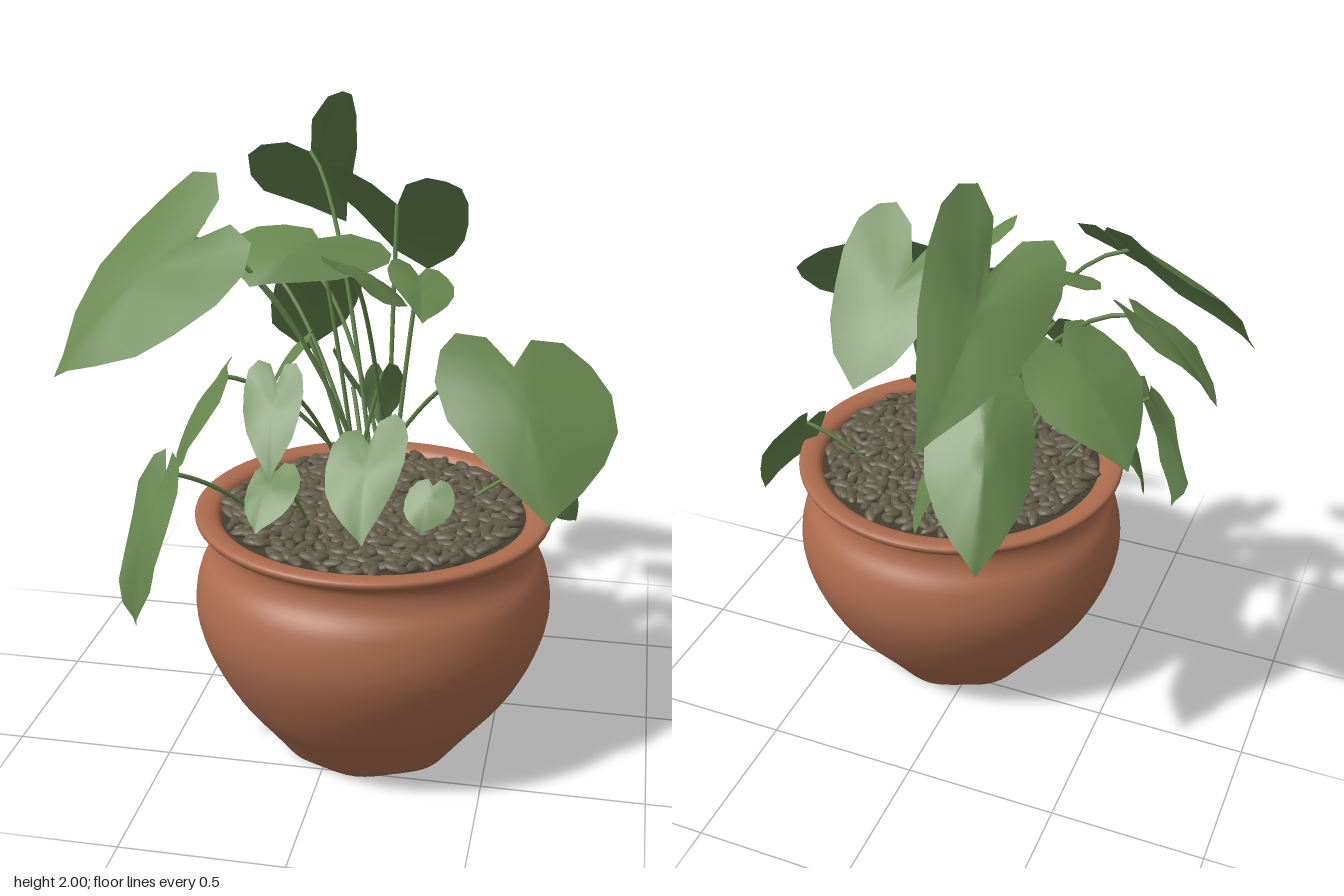
import * as THREE from 'three';
import { mergeGeometries } from 'three/addons/utils/BufferGeometryUtils.js';

const mat = (name, color, side = THREE.FrontSide) => {
  const m = new THREE.MeshStandardMaterial({ color, side });
  m.name = name;
  return m;
};
const V = (a) => new THREE.Vector3(...a);
const POT = [0.11, 0, 0.22];

// Half outline of a heart-shaped blade: s runs towards the tip, t sideways
const HALF = [[1, 0], [0.9, 0.14], [0.73, 0.42], [0.5, 0.73], [0.26, 0.95], [0, 1],
  [-0.18, 0.87], [-0.28, 0.62], [-0.22, 0.25], [0, 0]];
const OUTLINE = [...HALF, ...HALF.slice(1, -1).reverse().map(([s, t]) => [s, -t])];

// Blade spanned by its stalk joint p, tip q and the widest points l and r;
// a blunt value above 1 fills out the tip
function bladeGeometry(p, q, l, r, blunt) {
  const P = V(p), axis = V(q).sub(P), left = V(l).sub(P), right = V(r).sub(P);
  const normal = axis.clone().cross(right.clone().sub(left)).normalize();
  if (normal.y < 0) normal.negate();
  const len = axis.length(), n = OUTLINE.length, rings = 4, pos = [], idx = [];
  const add = (s, t, wave) => {
    const arch = 0.2 * Math.max(0, s) * (1 - s);
    const v = P.clone().addScaledVector(axis, s)
      .addScaledVector(t > 0 ? right : left, Math.abs(t))
      .addScaledVector(normal, len * (arch + wave));
    pos.push(v.x, v.y, v.z);
  };
  add(0.3, 0, 0.03);
  for (let k = 1; k <= rings; k++) {
    const f = k / rings;
    OUTLINE.forEach(([s, t], i) => {
      const w = s > 0 ? Math.sign(t) * Math.abs(t) ** (1 / blunt) : t;
      const wave = 0.03 * (1 - f * f) + 0.025 * f * f * Math.sin(i * 1.7) * Math.min(1, Math.abs(t) * 2);
      add(0.3 + (s - 0.3) * f, w * f, wave);
    });
  }
  for (let i = 0; i < n; i++) {
    const j = (i + 1) % n;
    idx.push(0, 1 + i, 1 + j);
    for (let k = 0; k < rings - 1; k++) {
      const a = 1 + k * n, b = a + n;
      idx.push(a + i, b + i, b + j, a + i, b + j, a + j);
    }
  }
  const g = new THREE.BufferGeometry();
  g.setAttribute('position', new THREE.Float32BufferAttribute(pos, 3));
  g.setIndex(idx);
  g.computeVertexNormals();
  return g;
}

export function createModel() {
  const model = new THREE.Group();
  const clay = mat('terracotta', 0xad6c4e, THREE.DoubleSide);
  const green = mat('leaf green', 0x68874f, THREE.DoubleSide);
  const stalkGreen = mat('stalk green', 0x64834c);
  const earth = mat('dark earth', 0x453e31);
  const bark = mat('pebble olive brown', 0x625a48);
  const mesh = (name, geo, m, parent = model) => {
    const o = new THREE.Mesh(geo, m);
    o.name = name;
    parent.add(o);
    return o;
  };
  let seed = 7;
  const rand = () => (seed = (seed * 16807) % 2147483647) / 2147483647;

  // Pot: turned profile with a slightly fluted foot
  const profile = new THREE.SplineCurve([[0.3, 0], [0.375, 0.1], [0.45, 0.2], [0.515, 0.32], [0.553, 0.43],
    [0.56, 0.52], [0.54, 0.61], [0.505, 0.665], [0.492, 0.71], [0.5, 0.745], [0.54, 0.765], [0.555, 0.785],
    [0.545, 0.8], [0.5, 0.797], [0.475, 0.775], [0.468, 0.72]].map((p) => new THREE.Vector2(...p))).getPoints(48);
  const potGeo = new THREE.LatheGeometry([new THREE.Vector2(0, 0), ...profile], 64);
  const pp = potGeo.attributes.position;
  for (let i = 0; i < pp.count; i++) {
    const x = pp.getX(i), y = pp.getY(i), z = pp.getZ(i);
    const k = 1 - 0.018 * Math.max(0, 1 - y / 0.25) * (1 - Math.cos(8 * Math.atan2(z, x)));
    pp.setXYZ(i, x * k, y, z * k);
  }
  mesh('pot', potGeo, clay).position.set(...POT);

  // Soil with a bed of long pebbles laid out on a sunflower spiral
  const soil = mesh('soil', new THREE.CircleGeometry(0.48, 48).rotateX(-Math.PI / 2), earth);
  soil.position.set(POT[0], 0.775, POT[2]);
  const pebbles = [], count = 520;
  for (let i = 0; i < count; i++) {
    const r = 0.455 * Math.sqrt((i + 0.5) / count), a = i * 2.39996 + (rand() - 0.5) * 0.05;
    pebbles.push(new THREE.IcosahedronGeometry(1, 1)
      .scale(0.032 + 0.014 * rand(), 0.013, 0.015 + 0.007 * rand())
      .rotateZ((rand() - 0.5) * 0.5).rotateY(rand() * Math.PI)
      .translate(POT[0] + r * Math.cos(a), 0.782 + 0.012 * rand(), POT[2] + r * Math.sin(a)));
  }
  mesh('pebbles', mergeGeometries(pebbles), bark);

  // A leaf is a blade and a stalk arching up from the soil; low ones root further out
  const leaf = (name, p, q, l, r, blunt = 1) => {
    const g = new THREE.Group();
    g.name = name;
    model.add(g);
    mesh('blade', bladeGeometry(p, q, l, r, blunt), green, g);
    const end = V(p), spread = end.y < 1 ? 0.6 : 0;
    const a = new THREE.Vector3(0.09 + (rand() - 0.5) * 0.14, 0.77, 0.12 + (rand() - 0.5) * 0.14);
    a.x += (end.x - a.x) * spread;
    a.z += (end.z - a.z) * spread;
    const bend = a.clone().lerp(end, 0.5);
    bend.y += 0.45 * (end.y - a.y) * Math.min(1, 2 * Math.hypot(end.x - a.x, end.z - a.z));
    const stalk = new THREE.QuadraticBezierCurve3(a, bend, end);
    mesh('stalk', new THREE.TubeGeometry(stalk, 14, 0.007, 6), stalkGreen, g);
  };

  // Tall leaves
  leaf('tallBackLeaf', [-0.2, 1.79, -0.33], [-0.17, 1.46, -0.78], [-0.39, 1.72, -0.27], [-0.06, 1.97, -0.34]);
  leaf('broadBackLeaf', [0.12, 1.67, -0.13], [0.18, 1.39, -0.43], [-0.09, 1.76, -0.07], [0.33, 1.74, -0.04], 2.6);
  leaf('leftBackLeaf', [-0.35, 1.49, -0.13], [-0.64, 1.28, -0.38], [-0.32, 1.45, -0.35], [-0.5, 1.42, 0.02]);
  leaf('farLeftLeaf', [-0.53, 1.57, -0.01], [-0.83, 1.43, -0.19], [-0.58, 1.62, -0.19], [-0.62, 1.49, 0.1]);
  leaf('bigLeftLeaf', [-0.42, 1.63, 0.28], [-0.8, 1.25, 0.5], [-0.57, 1.72, 0.05], [-0.28, 1.5, 0.53]);
  leaf('centreLeaf', [-0.09, 1.6, 0.07], [-0.25, 1.5, 0.3], [-0.36, 1.59, 0.05], [0.13, 1.53, 0.08]);
  leaf('innerCentreLeaf', [0.08, 1.56, 0.37], [0.15, 1.46, 0.13], [-0.02, 1.61, 0.34], [0.2, 1.47, 0.34]);
  leaf('smallCentreLeaf', [0.21, 1.48, 0], [0.25, 1.38, 0.18], [0.12, 1.51, 0.05], [0.32, 1.45, 0.01]);
  leaf('lowBackLeaf', [-0.2, 1.39, -0.34], [-0.29, 1.0, -0.65], [-0.34, 1.27, -0.31], [-0.05, 1.3, -0.45]);

  // Front and side leaves
  leaf('rightFrontLeaf', [0.55, 1.36, 0.48], [0.68, 1.0, 0.74], [0.34, 1.33, 0.56], [0.82, 1.27, 0.42]);
  leaf('frontLeaf', [-0.14, 1.25, 0.43], [-0.12, 1.02, 0.62], [-0.24, 1.23, 0.43], [-0.05, 1.24, 0.47]);
  leaf('leftSideLeaf', [-0.36, 1.2, 0.25], [-0.55, 0.82, 0.18], [-0.42, 1.1, 0.13], [-0.38, 1.07, 0.36]);
  leaf('hangingLeftLeaf', [-0.46, 0.98, 0.52], [-0.55, 0.5, 0.6], [-0.58, 0.83, 0.5], [-0.42, 0.85, 0.63]);
  leaf('hangingRightLeaf', [0.61, 0.9, 0.05], [0.73, 0.67, -0.06], [0.61, 0.81, 0.13], [0.68, 0.87, -0.06]);

  // Low leaves close to the soil
  leaf('lowCentreLeaf', [0.12, 1.05, 0.36], [0.14, 0.82, 0.58], [0.0, 0.99, 0.42], [0.24, 1.08, 0.36]);
  leaf('lowLeftLeaf', [-0.14, 0.99, 0.48], [-0.16, 0.86, 0.64], [-0.21, 0.96, 0.52], [-0.05, 0.97, 0.54]);
  leaf('lowRightLeaf', [0.32, 0.95, 0.4], [0.3, 0.83, 0.48], [0.24, 0.91, 0.42], [0.39, 0.91, 0.43]);
  leaf('lowRearLeaf', [-0.02, 1.06, -0.12], [0.06, 0.81, -0.29], [-0.1, 1.13, -0.24], [0.09, 0.94, -0.07]);
  leaf('innerLeaf', [-0.12, 1.3, 0.1], [-0.25, 1.1, 0.08], [-0.15, 1.23, 0.01], [-0.15, 1.23, 0.2]);
  leaf('youngLeaf', [0.12, 1.2, 0.12], [0.1, 1.0, 0.06], [0.05, 1.14, 0.08], [0.18, 1.14, 0.06]);

  return model;
}
